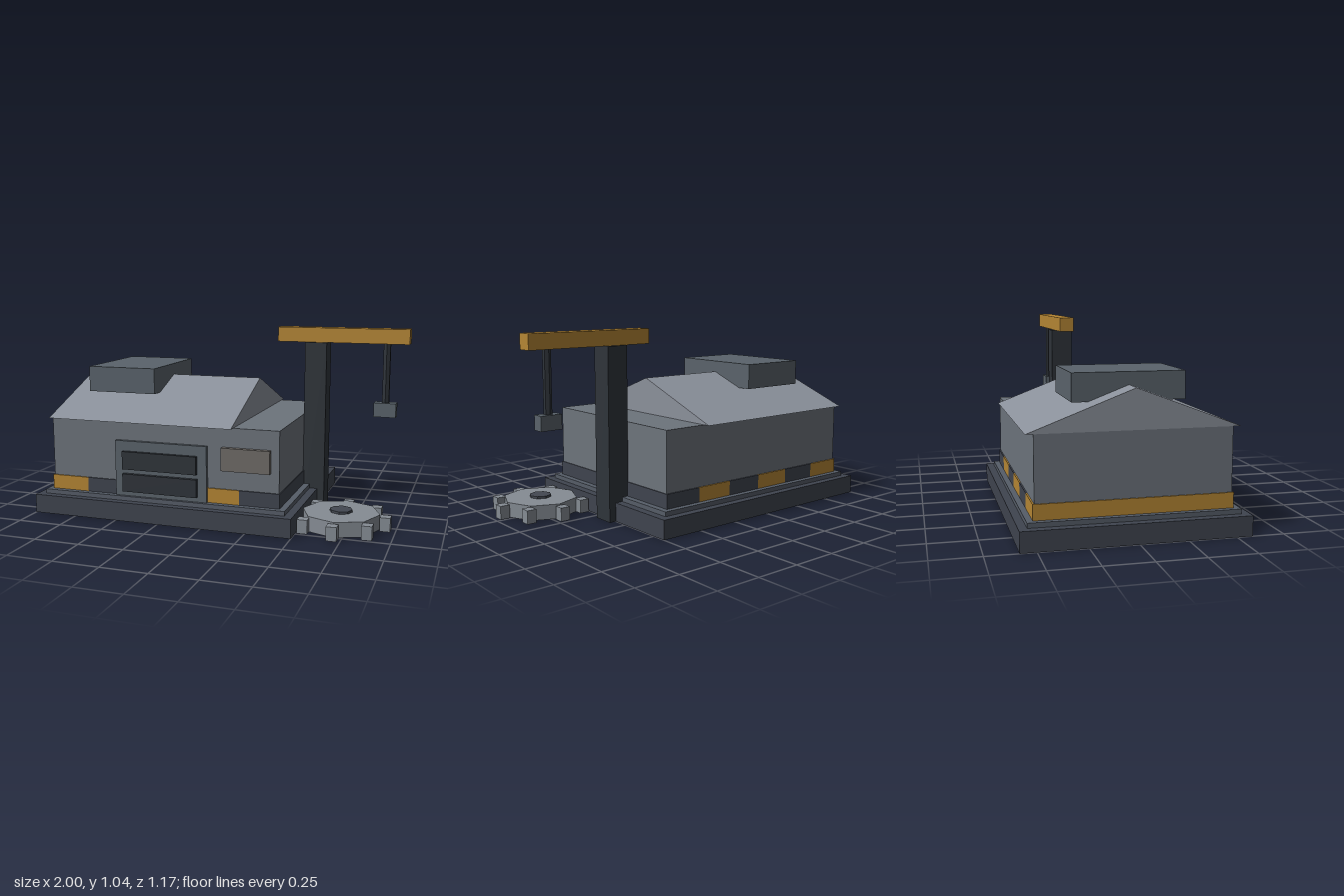
import * as THREE from 'three';

const mat = (color, side = THREE.FrontSide) =>
  new THREE.MeshStandardMaterial({ color, flatShading: true, side });

const mats = {
  slab: mat(0x3f444f), ledge: mat(0x565d68), wall: mat(0x6d747c), roof: mat(0x8b919b),
  unit: mat(0x5a636b), dark: mat(0x2f343a), gold: mat(0xb58634), sign: mat(0x6f6b67),
  gear: mat(0x858c94, THREE.DoubleSide), hub: mat(0x434851),
};

export function createModel() {
  const model = new THREE.Group();

  const add = (parent, name, geometry, material) => {
    const mesh = new THREE.Mesh(geometry, material);
    mesh.name = name;
    parent.add(mesh);
    return mesh;
  };
  // Box given by its lower and upper limits on each axis
  const box = (parent, name, material, [x0, x1], [y0, y1], [z0, z1]) => {
    const mesh = add(parent, name, new THREE.BoxGeometry(x1 - x0, y1 - y0, z1 - z0), material);
    mesh.position.set((x0 + x1) / 2, (y0 + y1) / 2, (z0 + z1) / 2);
    return mesh;
  };
  const group = (name) => {
    const g = new THREE.Group();
    g.name = name;
    model.add(g);
    return g;
  };

  // Stepped foundation and hall
  const hall = group('hall');
  box(hall, 'foundationSlab', mats.slab, [-1, 0.5], [0, 0.105], [-0.583, 0.583]);
  box(hall, 'foundationLedge', mats.ledge, [-0.955, 0.455], [0.105, 0.13], [-0.54, 0.54]);
  box(hall, 'walls', mats.wall, [-0.918, 0.415], [0.13, 0.545], [-0.5, 0.5]);

  // Warning band of alternating blocks around the foot of the walls
  const step = 1.345 / 6;
  for (let i = 0; i < 6; i++) {
    const x = -0.925 + i * step;
    box(hall, 'warningBand', i % 2 ? mats.slab : mats.gold, [x, x + step], [0.13, 0.21], [-0.508, 0.508]);
  }

  // Gable roof over the western part, with the ridge along x
  const gable = new THREE.Shape([
    new THREE.Vector2(-0.54, 0.545), new THREE.Vector2(0.54, 0.545), new THREE.Vector2(0, 0.75),
  ]);
  const roofGeometry = new THREE.ExtrudeGeometry(gable, { depth: 1.08, bevelEnabled: false });
  roofGeometry.rotateY(Math.PI / 2);
  add(hall, 'gableRoof', roofGeometry, mats.roof).position.x = -0.92;
  box(hall, 'roofUnit', mats.unit, [-0.79, -0.38], [0.67, 0.815], [-0.292, 0.292]);

  // Gate with two dark panels, and a plate beside it
  const gate = group('gate');
  box(gate, 'gateFrame', mats.unit, [-0.52, 0.017], [0.13, 0.44], [0.49, 0.522]);
  for (const y of [0.158, 0.284]) {
    box(gate, 'gatePanel', mats.dark, [-0.47, -0.035], [y, y + 0.1], [0.51, 0.544]);
  }
  box(hall, 'wallPlate', mats.sign, [0.1, 0.37], [0.315, 0.44], [0.49, 0.528]);

  // Crane: post, beam, hanging rod and load
  const crane = group('crane');
  box(crane, 'cranePost', mats.dark, [0.415, 0.54], [0, 0.96], [-0.165, -0.04]);
  box(crane, 'craneBeam', mats.gold, [0.25, 1], [0.96, 1.043], [-0.145, -0.06]);
  const rod = add(crane, 'hangingRod', new THREE.CylinderGeometry(0.022, 0.022, 0.35, 6), mats.dark);
  rod.position.set(0.873, 0.79, -0.102);
  box(crane, 'hangingLoad', mats.unit, [0.81, 0.935], [0.545, 0.625], [-0.135, -0.07]);

  // Eight-sided gear lying on the ground, hollow underneath
  const gear = group('gear');
  gear.position.set(0.705, 0, 0.288);
  const rim = [new THREE.Vector2(0.21, 0), new THREE.Vector2(0.21, 0.083), new THREE.Vector2(0, 0.083)];
  add(gear, 'gearBody', new THREE.LatheGeometry(rim, 8), mats.gear);
  add(gear, 'gearHub', new THREE.CylinderGeometry(0.062, 0.062, 0.096, 8), mats.hub).position.y = 0.048;
  for (let i = 0; i < 8; i++) {
    const a = (i * Math.PI) / 4;
    const tooth = add(gear, 'gearTooth', new THREE.BoxGeometry(0.056, 0.076, 0.056), mats.gear);
    tooth.position.set(Math.cos(a) * 0.24, 0.038, Math.sin(a) * 0.24);
  }

  return model;
}
